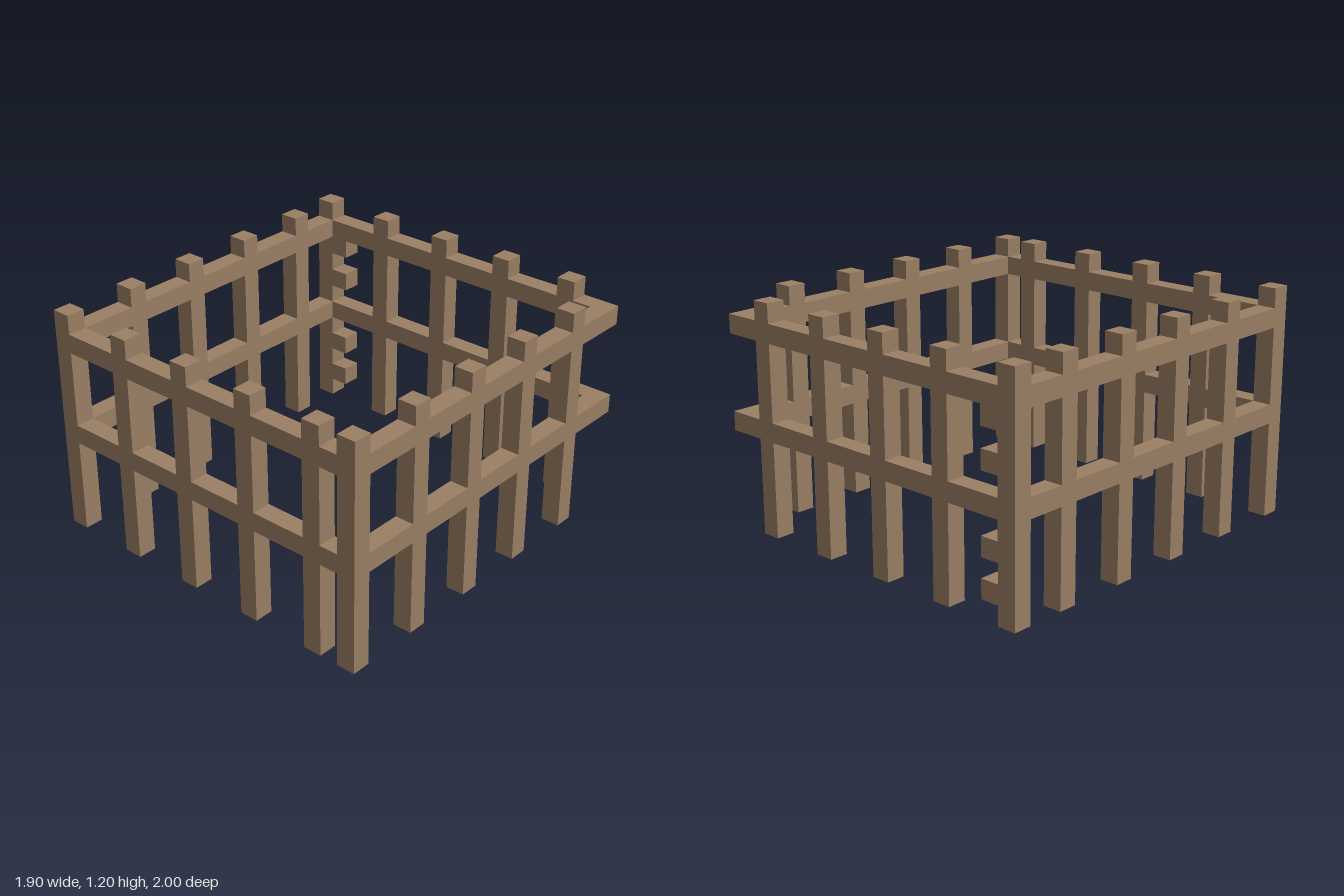
import * as THREE from 'three';

const T = 0.1; // timber thickness
const X = 0.9, Z = 0.95; // centre lines of the fence sides

export function createModel() {
  const model = new THREE.Group();
  model.name = 'fencePen';
  const wood = new THREE.MeshStandardMaterial({ color: 0x9a7f64, side: THREE.DoubleSide });

  function add(name, geometry, x, y, z) {
    const mesh = new THREE.Mesh(geometry, wood);
    mesh.name = name;
    mesh.position.set(x, y, z);
    model.add(mesh);
  }

  // Posts: square timbers, open at the foot
  const postGeometry = new THREE.BoxGeometry(T, 1.2, T);
  const index = Array.from(postGeometry.index.array);
  index.splice(18, 6); // drop the bottom face
  postGeometry.setIndex(index);
  postGeometry.clearGroups();
  const post = (name, x, z) => add(name, postGeometry, x, 0.6, z);

  for (const x of [-0.9, -0.5, -0.1, 0.3, 0.7]) {
    post('frontPost', x, Z);
    post('backPost', x, -Z);
  }
  post('frontLeftCornerPost', X, Z);
  for (const z of [0.55, 0.15, -0.25, -0.65]) {
    post('leftPost', X, z);
    post('rightPost', -X, z);
  }

  // Two levels of rails around all four sides
  const longRail = new THREE.BoxGeometry(2 * X + T, T, T);
  const sideRail = new THREE.BoxGeometry(T, T, 2 * Z - T);
  for (const y of [0.55, 1.05]) {
    add('frontRail', longRail, 0, y, Z);
    add('backRail', longRail, 0, y, -Z);
    add('leftRail', sideRail, X, y, 0);
    add('rightRail', sideRail, -X, y, 0);
  }

  // Short blocks beside the back right corner post
  const block = new THREE.BoxGeometry(T, T, T);
  for (const y of [0.15, 0.35, 0.75, 0.95]) add('hingeBlock', block, -X + T, y, -Z);

  return model;
}
